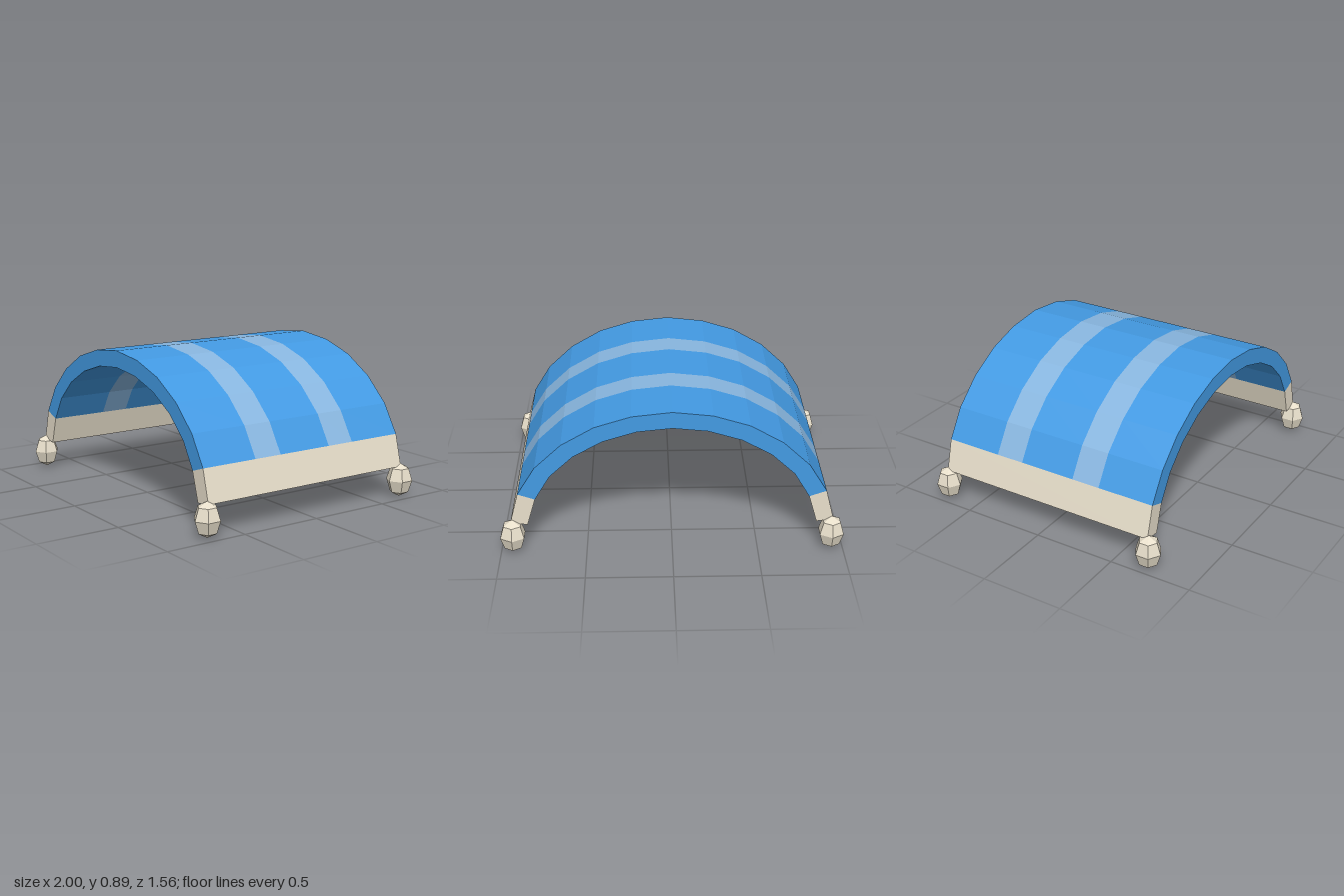
import * as THREE from 'three';

const material = (color) => new THREE.MeshStandardMaterial({ color, flatShading: true });

// Half of the arch section, from the crown down to the foot: [outer x, y, inner x, y]
const half = [
  [0, 0.89, 0, 0.79],
  [0.23, 0.865, 0.2, 0.77],
  [0.44, 0.8, 0.395, 0.71],
  [0.63, 0.69, 0.565, 0.615],
  [0.785, 0.545, 0.7, 0.49],
  [0.89, 0.375, 0.79, 0.34],
  [0.94, 0.185, 0.84, 0.172],
];
const mirror = ([ox, oy, ix, iy]) => [-ox, oy, -ix, iy];
// Whole section, running from -x to +x
const section = [...half.slice(1).reverse().map(mirror), ...half];
const last = section.length - 1;
const depth = 0.7;

// Curved slab over section points a..b between z0 and z1, closed only where it is exposed
function slab(a, b, z0, z1) {
  const pos = [];
  const quad = (p, q, r, s) => pos.push(...p, ...q, ...r, ...p, ...r, ...s);
  const outer = (i, z) => [section[i][0], section[i][1], z];
  const inner = (i, z) => [section[i][2], section[i][3], z];
  for (let i = a; i < b; i++) {
    const j = i + 1;
    quad(outer(i, z1), outer(j, z1), outer(j, z0), outer(i, z0));
    quad(inner(i, z0), inner(j, z0), inner(j, z1), inner(i, z1));
    if (z1 === depth) quad(inner(i, z1), inner(j, z1), outer(j, z1), outer(i, z1));
    if (z0 === -depth) quad(outer(i, z0), outer(j, z0), inner(j, z0), inner(i, z0));
  }
  // Undersides at the two ends of the arch
  if (a === 0) quad(inner(0, z0), inner(0, z1), outer(0, z1), outer(0, z0));
  if (b === last) quad(outer(last, z0), outer(last, z1), inner(last, z1), inner(last, z0));
  const geometry = new THREE.BufferGeometry();
  geometry.setAttribute('position', new THREE.Float32BufferAttribute(pos, 3));
  geometry.computeVertexNormals();
  return geometry;
}

export function createModel() {
  const model = new THREE.Group();
  model.name = 'archedCanopy';
  const blue = material(0x439ae3);
  const pale = material(0x88b6df);
  const cream = material(0xe8dfcb);

  const add = (name, geometry, mat) => {
    const mesh = new THREE.Mesh(geometry, mat);
    mesh.name = name;
    model.add(mesh);
    return mesh;
  };

  // Curved cover: blue panels alternating with pale stripes
  const cuts = [-depth, -0.35, -0.175, 0.175, 0.35, depth];
  for (let k = 0; k < cuts.length - 1; k++) {
    const stripe = k % 2 === 1;
    add(stripe ? 'coverStripe' : 'coverPanel', slab(1, last - 1, cuts[k], cuts[k + 1]), stripe ? pale : blue);
  }

  // Side rails under the cover
  add('rightRail', slab(0, 1, -depth, depth), cream);
  add('leftRail', slab(last - 1, last, -depth, depth), cream);

  // Faceted feet at the corners
  const footGeometry = new THREE.SphereGeometry(0.08, 6, 4).rotateY(Math.PI / 2).scale(1, 1.28, 1);
  for (const x of [-0.93, 0.93]) {
    for (const z of [-depth, depth]) {
      const name = (z > 0 ? 'front' : 'back') + (x > 0 ? 'Left' : 'Right') + 'Foot';
      add(name, footGeometry, cream).position.set(x, 0.1024, z);
    }
  }
  return model;
}
